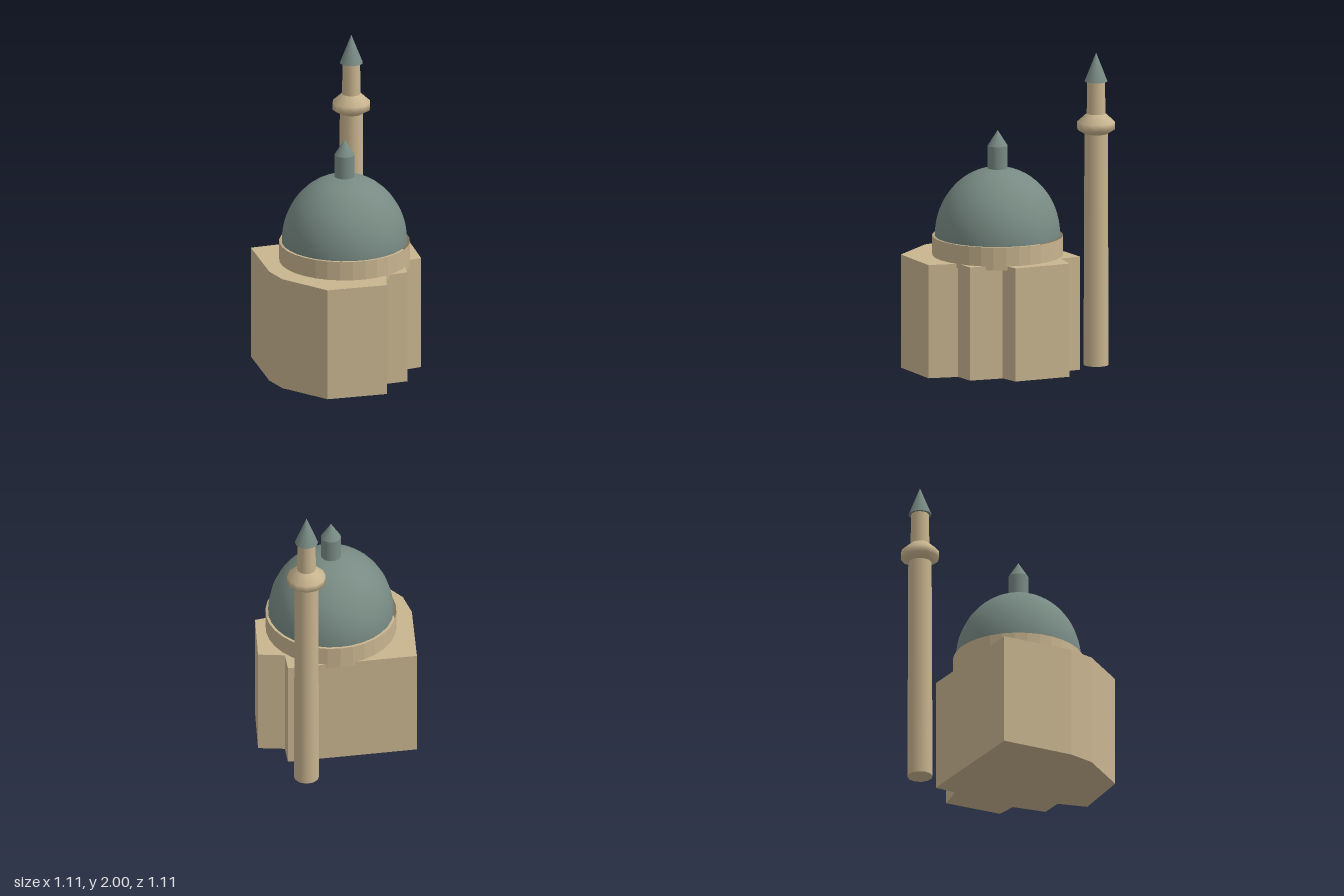
import * as THREE from 'three';

const stone = new THREE.MeshStandardMaterial({ color: 0xc8b48f, side: THREE.DoubleSide });
stone.name = 'sandstone';
const flatStone = stone;
const lead = new THREE.MeshStandardMaterial({ color: 0x788a83 });
lead.name = 'grey green lead';

function add(parent, name, geometry, material, y = 0) {
  const mesh = new THREE.Mesh(geometry, material);
  mesh.name = name;
  mesh.position.y = y;
  parent.add(mesh);
  return mesh;
}

// Upright cylinder or cone standing between two heights
function column(parent, name, material, y0, y1, r0, r1, sides, open = false) {
  const g = new THREE.CylinderGeometry(r1, r0, y1 - y0, sides, 1, open);
  return add(parent, name, g, material, (y0 + y1) / 2);
}

// Split the sides of a geometry into flat facets
function faceted(geometry) {
  const g = geometry.toNonIndexed();
  g.computeVertexNormals();
  return g;
}

export function createModel() {
  const model = new THREE.Group();
  model.name = 'domedBuilding';

  // Irregular hall, outlined in plan as x, z
  const plan = [
    [-0.31, -0.545], [-0.524, -0.124], [-0.557, 0.04], [-0.482, 0.386],
    [-0.135, 0.555], [-0.013, 0.407], [0.12, 0.457], [0.24, 0.277],
    [0.366, 0.308], [0.541, -0.022], [0.4, -0.115], [0.455, -0.244],
  ];
  const outline = new THREE.Shape(plan.map(([x, z]) => new THREE.Vector2(x, -z)));
  const hall = new THREE.ExtrudeGeometry(outline, { depth: 0.725, bevelEnabled: false });
  hall.rotateX(-Math.PI / 2);
  add(model, 'hall', hall, stone);

  // Drum, dome and finial share one axis
  const crown = new THREE.Group();
  crown.name = 'crown';
  crown.position.set(-0.008, 0, 0.004);
  model.add(crown);

  const drum = column(crown, 'drum', flatStone, 0.7, 0.847, 0.412, 0.412, 32, true);
  drum.geometry = faceted(drum.geometry);

  const dome = new THREE.SphereGeometry(0.395, 32, 16, 0, Math.PI * 2, 0, Math.PI / 2);
  dome.scale(1, 0.435 / 0.395, 1);
  add(crown, 'dome', dome, lead, 0.847);

  column(crown, 'finialShaft', lead, 1.26, 1.42, 0.063, 0.063, 24);
  column(crown, 'finialTip', lead, 1.42, 1.52, 0.063, 0, 24);

  // Slender tower standing behind the hall
  const tower = new THREE.Group();
  tower.name = 'tower';
  tower.position.set(0.434, 0, -0.437);
  model.add(tower);

  column(tower, 'towerShaft', stone, 0, 1.485, 0.08, 0.074, 12);
  const balcony = [[0.074, 1.482], [0.121, 1.51], [0.121, 1.555], [0.06, 1.61]]
    .map(([r, y]) => new THREE.Vector2(r, y));
  add(tower, 'balcony', new THREE.LatheGeometry(balcony, 12), stone);
  column(tower, 'upperShaft', stone, 1.6, 1.815, 0.06, 0.056, 12);
  column(tower, 'spire', lead, 1.815, 2, 0.073, 0, 12);

  return model;
}
